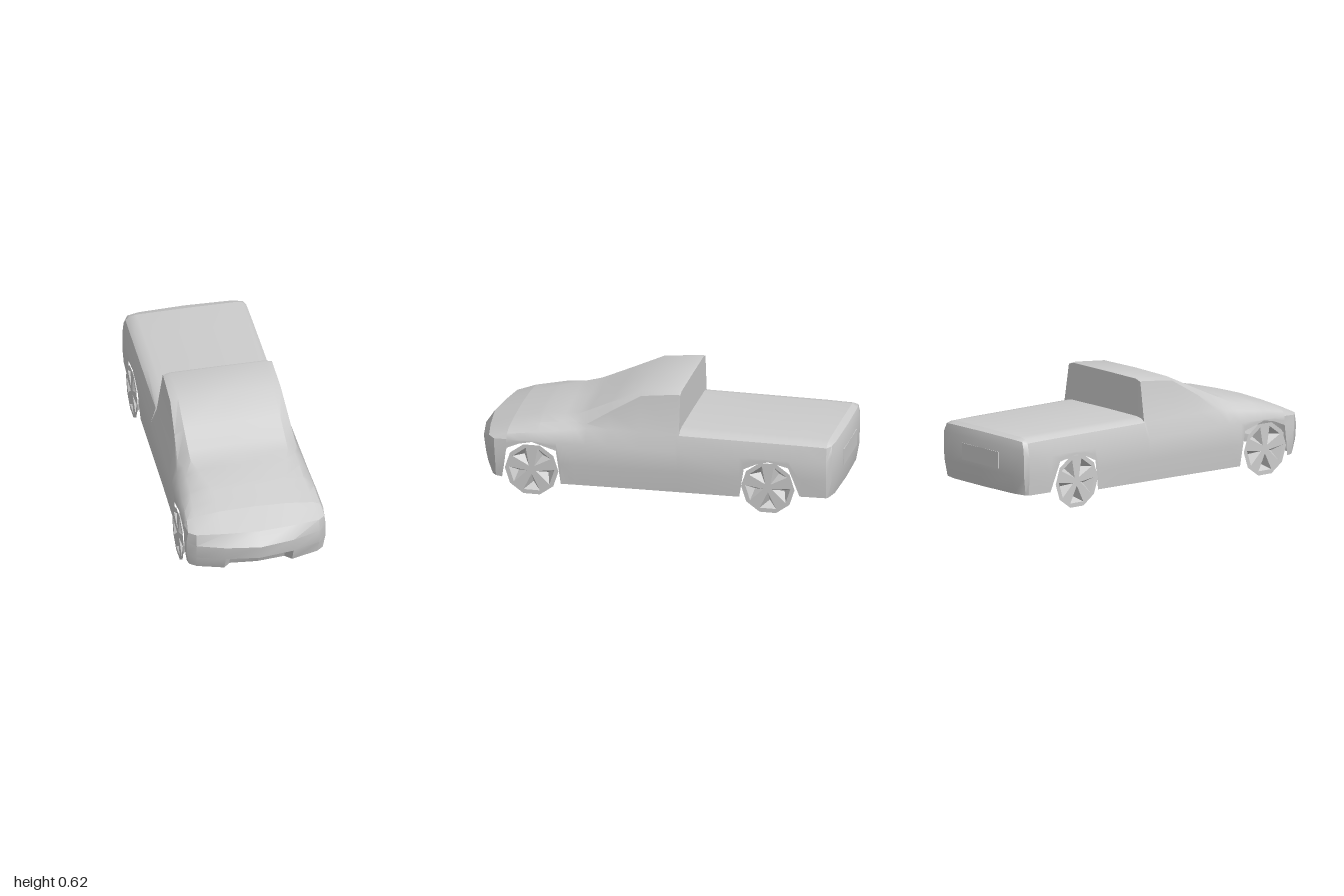
import * as THREE from 'three';
import { toCreasedNormals } from 'three/addons/utils/BufferGeometryUtils.js';

const material = new THREE.MeshStandardMaterial({ color: 0xcccccc, side: THREE.DoubleSide });

// Right half of a row (outer edge to centreline) completed by its mirror image
const mirrorRow = half => [
  ...half.map(([x, y, z]) => [-x, y, z]),
  ...half.slice(0, -1).reverse(),
];

// Skin stretched over mirrored rows; skip(i, j) leaves a quad open
function skin(name, halves, skip = () => false, crease = 0.55) {
  const rows = halves.map(mirrorRow), out = [];
  const tri = (...pts) => {
    const [a, b, c] = pts.map(p => new THREE.Vector3(...p));
    const area = b.clone().sub(a).cross(c.clone().sub(a)).length();
    if (area > 1e-7) out.push(...pts.flat());
  };
  for (let i = 0; i < rows.length - 1; i++) {
    for (let j = 0; j < rows[i].length - 1; j++) {
      if (skip(i, j)) continue;
      const a = rows[i][j], b = rows[i][j + 1], c = rows[i + 1][j + 1], d = rows[i + 1][j];
      tri(a, b, c);
      tri(a, c, d);
    }
  }
  const g = new THREE.BufferGeometry();
  g.setAttribute('position', new THREE.Float32BufferAttribute(out, 3));
  const mesh = new THREE.Mesh(toCreasedNormals(g, crease), material);
  mesh.name = name;
  return mesh;
}

// Upper cross-sections: z, half width, shoulder x y, upper edge x y, top corner x y, centre y
const sections = [
  [0.80, 0.380, 0.365, 0.325, 0.325, 0.342, 0.185, 0.358, 0.364],
  [0.63, 0.378, 0.357, 0.347, 0.31, 0.385, 0.20, 0.403, 0.410],
  [0.43, 0.371, 0.340, 0.372, 0.305, 0.405, 0.265, 0.437, 0.445],
  [0.37, 0.370, 0.335, 0.382, 0.325, 0.405, 0.265, 0.463, 0.470],
  [0.25, 0.367, 0.332, 0.385, 0.315, 0.480, 0.263, 0.518, 0.524],
  [0.08, 0.364, 0.330, 0.385, 0.302, 0.582, 0.260, 0.598, 0.602],
  [-0.12, 0.362, 0.330, 0.385, 0.298, 0.605, 0.260, 0.618, 0.620],
  [-0.135, 0.362, 0.330, 0.385, 0.298, 0.602, 0.260, 0.614, 0.615],
  [-0.136, 0.362, 0.336, 0.385, 0.310, 0.404, 0.270, 0.411, 0.413],
  [-0.80, 0.355, 0.332, 0.385, 0.310, 0.404, 0.270, 0.411, 0.413],
  [-0.945, 0.347, 0.330, 0.383, 0.308, 0.402, 0.270, 0.410, 0.412],
];

// Lower edge of the sides with both wheel arches: z, y
const sill = [
  [0.80, 0.25], [0.73, 0.28], [0.66, 0.295], [0.53, 0.255], [0.505, 0.063],
  [-0.47, 0.07], [-0.497, 0.235], [-0.57, 0.27], [-0.63, 0.285], [-0.74, 0.26],
  [-0.80, 0.1], [-0.945, 0.1],
];

function sample(table, z) {
  let i = 0;
  while (i < table.length - 2 && table[i + 1][0] > z) i++;
  const a = table[i], b = table[i + 1], t = (a[0] - z) / (a[0] - b[0]);
  return a.map((v, k) => v + (b[k] - v) * t);
}

function bodyRow(z) {
  const [, w, hx, hy, ex, ey, rx, ry, cy] = sample(sections, z);
  const low = sample(sill, z)[1];
  const mid = Math.max(0.18, (low + 0.3) / 2);
  const sideX = y => w - Math.max(0, 0.18 - y) * 0.1;
  return [[sideX(low), low, z], [w, mid, z], [w, 0.3, z], [hx, hy, z], [ex, ey, z], [rx, ry, z], [0, cy, z]];
}

// Ten-sided wheel disc with five pointed pockets between the spokes
function makeWheel(name, side, x, z) {
  const polar = (deg, r) => new THREE.Vector2(Math.cos(deg * Math.PI / 180) * r, Math.sin(deg * Math.PI / 180) * r);
  const disc = new THREE.Shape(Array.from({ length: 10 }, (_, i) => polar(-72 + i * 36, 0.147)));
  const pocketPts = [];
  for (let k = 0; k < 5; k++) {
    const a = -90 + k * 72;
    const corners = [polar(a, 0.025), polar(a - 21, 0.125), polar(a + 21, 0.125)];
    const apex = polar(a, 0.085);
    disc.holes.push(new THREE.Path(corners));
    corners.forEach((p, i) => {
      const q = corners[(i + 1) % 3];
      pocketPts.push(p.x, p.y, 0, q.x, q.y, 0, apex.x, apex.y, -0.05);
    });
  }
  const pockets = new THREE.BufferGeometry();
  pockets.setAttribute('position', new THREE.Float32BufferAttribute(pocketPts, 3));
  pockets.computeVertexNormals();
  const wheel = new THREE.Group();
  wheel.name = name;
  const face = new THREE.Mesh(new THREE.ShapeGeometry(disc), material);
  face.name = 'wheelSpokes';
  const wells = new THREE.Mesh(pockets, material);
  wells.name = 'wheelPockets';
  wheel.add(face, wells);
  wheel.rotation.y = side * Math.PI / 2;
  wheel.position.set(side * x, 0.14, z);
  return wheel;
}

export function createModel() {
  const truck = new THREE.Group();
  truck.name = 'pickupTruck';

  // Bonnet, cab, bed cover and sides in one skin
  const stations = [...new Set([...sections, ...sill].map(r => r[0]))].sort((a, b) => b - a);
  const rows = stations.map(bodyRow);
  truck.add(skin('body', rows));

  // Front end, from the bumper's lower edge up to the bonnet
  const lip = [[0.38, 0.3, 0.8], [0.372, 0.296, 0.87], [0.335, 0.299, 0.905], [0.185, 0.303, 0.93], [0, 0.307, 0.95]];
  const nose = [
    [[0.37, 0.08, 0.825], [0.365, 0.083, 0.86], [0.33, 0.08, 0.885], [0.185, 0.073, 0.92], [0, 0.073, 0.94]],
    [[0.38, 0.155, 0.812], [0.379, 0.155, 0.86], [0.335, 0.155, 0.91], [0.185, 0.155, 0.957], [0, 0.155, 0.983]],
    [[0.38, 0.25, 0.8], [0.38, 0.235, 0.865], [0.335, 0.235, 0.917], [0.185, 0.235, 0.968], [0, 0.235, 0.998]],
    lip,
  ];
  truck.add(skin('frontBumper', nose, (i, j) => i === 0 && (j === 3 || j === 4)));
  truck.add(skin('bonnetFront', [lip, rows[0].slice(2)]));

  // Air intake recess in the bumper
  const [low, high] = [nose[0], nose[1]];
  truck.add(skin('airIntake', [
    [low[3], [0.15, 0.073, 0.885], [0, 0.073, 0.9]],
    [high[3], [0.15, 0.115, 0.9], [0, 0.109, 0.92]],
    [high[3], high[3], high[4]],
  ], undefined, 0.2));

  // Rounded tailgate
  const end = rows[rows.length - 1];
  truck.add(skin('tailgate', [
    end.slice(3),
    [end[3], [0.315, 0.392, -0.97], [0.25, 0.397, -0.98], [0, 0.4, -0.985]],
    [end[2], [0.333, 0.345, -0.975], [0.25, 0.35, -0.993], [0, 0.355, -1]],
    [end[1], [0.333, 0.2, -0.972], [0.25, 0.2, -0.991], [0, 0.2, -0.998]],
    [end[0], [0.325, 0.1, -0.955], [0.25, 0.1, -0.972], [0, 0.1, -0.978]],
  ], undefined, 0.7));
  const plate = new THREE.Mesh(new THREE.BoxGeometry(0.3, 0.09, 0.008), material);
  plate.name = 'tailgatePanel';
  plate.position.set(0, 0.27, -0.996);
  truck.add(plate);

  // Wheels
  for (const [side, label] of [[1, 'left'], [-1, 'right']]) {
    truck.add(makeWheel(label + 'FrontWheel', side, 0.383, 0.66));
    truck.add(makeWheel(label + 'RearWheel', side, 0.362, -0.63));
  }
  return truck;
}
